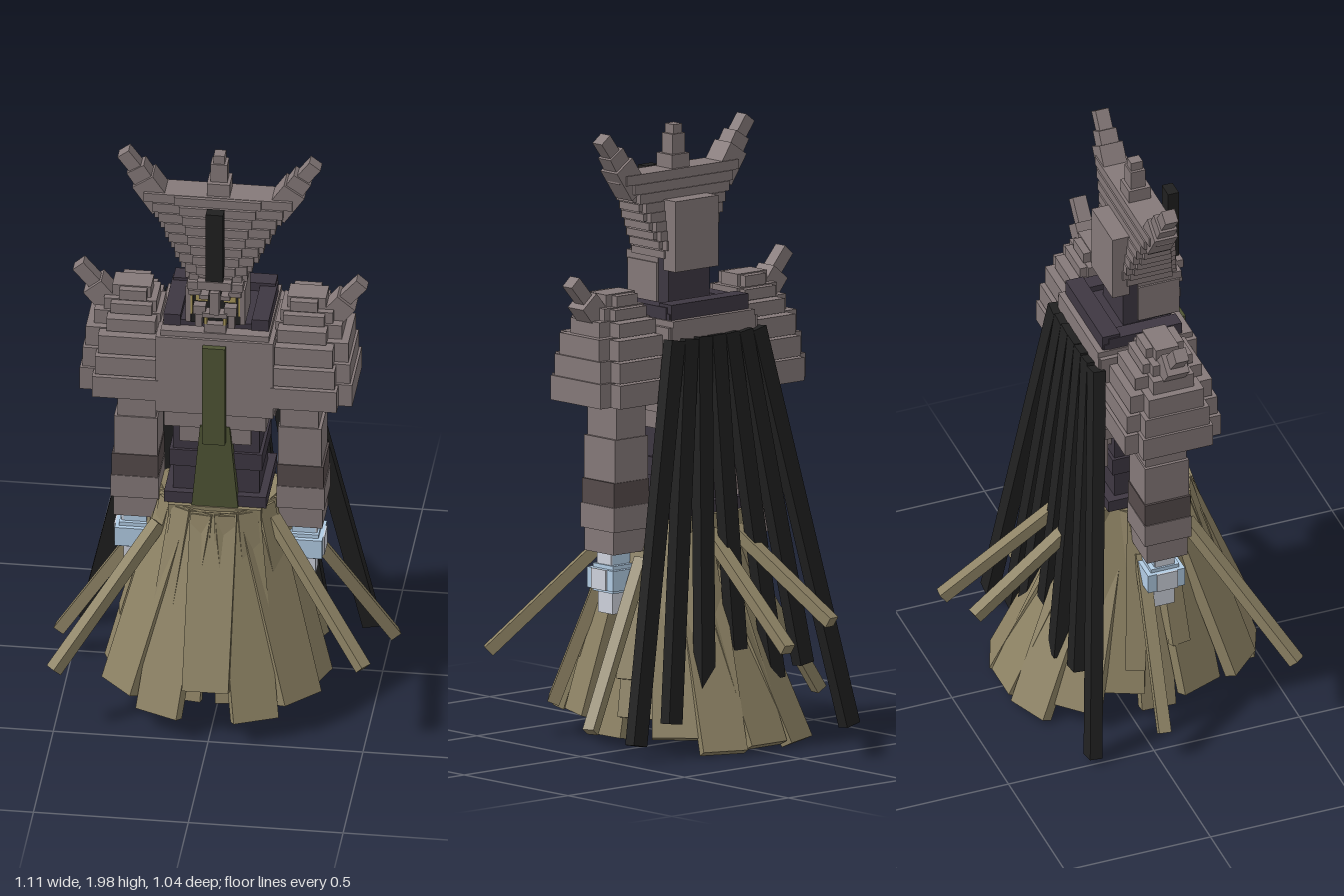
import * as THREE from 'three';

const mat = (name, color) => {
  const m = new THREE.MeshStandardMaterial({ color });
  m.name = name;
  return m;
};

export function createModel() {
  const armor = mat('mauve armour', 0x857979);
  const band = mat('dark armour band', 0x554b4b);
  const under = mat('dark purple cloth', 0x3e3742);
  const straw = mat('straw', 0x8d8264);
  const green = mat('moss green', 0x4e5434);
  const black = mat('black', 0x202020);
  const ice = mat('pale blue', 0xb2cce4);
  const frost = mat('pale grey', 0xced2dc);
  const gold = mat('gold', 0xa8965a);

  const root = new THREE.Group();
  const body = new THREE.Group();
  body.name = 'body';
  body.position.x = -0.01; // everything inside is symmetric about this line
  root.add(body);

  // Box from its limits
  const box = (name, m, x0, x1, y0, y1, z0, z1) => {
    const mesh = new THREE.Mesh(new THREE.BoxGeometry(x1 - x0, y1 - y0, z1 - z0), m);
    mesh.position.set((x0 + x1) / 2, (y0 + y1) / 2, (z0 + z1) / 2);
    mesh.name = name;
    body.add(mesh);
    return mesh;
  };
  // Box centred on x = 0, by half width
  const mid = (name, m, w, y0, y1, z0, z1) => box(name, m, -w, w, y0, y1, z0, z1);
  // Mirrored pair of boxes
  const pair = (name, m, x0, x1, y0, y1, z0, z1) => {
    box(name + 'Left', m, x0, x1, y0, y1, z0, z1);
    box(name + 'Right', m, -x1, -x0, y0, y1, z0, z1);
  };
  // Straight plank between two points; its width follows the given axis, or stays horizontal
  const plank = (name, m, a, b, width, thick, axis) => {
    const p = new THREE.Vector3(...a), q = new THREE.Vector3(...b);
    const dir = q.clone().sub(p);
    const len = dir.length();
    dir.normalize();
    const side = axis ? new THREE.Vector3(...axis) : new THREE.Vector3(0, 1, 0).cross(dir);
    side.addScaledVector(dir, -side.dot(dir)).normalize();
    const norm = side.clone().cross(dir);
    const mesh = new THREE.Mesh(new THREE.BoxGeometry(width, len, thick), m);
    mesh.quaternion.setFromRotationMatrix(new THREE.Matrix4().makeBasis(side, dir, norm));
    mesh.position.copy(p).add(q).multiplyScalar(0.5);
    mesh.name = name;
    body.add(mesh);
  };

  // Torso
  mid('waist', under, 0.14, 0.72, 1.04, 0.0, 0.22);
  mid('waistBelt', under, 0.165, 0.75, 0.79, -0.03, 0.245);
  mid('ribs', under, 0.15, 0.88, 0.94, -0.01, 0.23);
  mid('lowerChest', armor, 0.115, 0.98, 1.06, -0.02, 0.24);
  mid('middleChest', armor, 0.165, 1.04, 1.12, -0.04, 0.25);
  mid('chest', armor, 0.19, 1.1, 1.38, -0.065, 0.265);
  mid('backPlate', armor, 0.16, 0.93, 1.12, -0.07, -0.03);

  // Collar and neck
  mid('collarBase', armor, 0.175, 1.37, 1.4, -0.07, 0.255);
  mid('collarFloor', under, 0.168, 1.39, 1.42, -0.045, 0.215);
  mid('collarBack', under, 0.165, 1.38, 1.45, -0.05, 0.01);
  pair('collarSide', under, 0.115, 0.17, 1.38, 1.44, -0.03, 0.22);
  mid('neck', under, 0.06, 1.38, 1.5, 0.05, 0.18);

  // Tabard
  mid('tabardUpper', green, 0.037, 1.0, 1.36, 0.255, 0.285);
  const flare = mid('tabardLower', green, 0.077, 0.73, 1.05, 0.21, 0.255);
  const fp = flare.geometry.attributes.position;
  for (let i = 0; i < fp.count; i++) if (fp.getY(i) > 0) fp.setX(i, fp.getX(i) * 0.62);
  flare.geometry.computeVertexNormals();

  // Arms
  pair('upperArm', armor, 0.2, 0.325, 1.0, 1.2, 0.035, 0.175);
  pair('elbow', armor, 0.195, 0.335, 0.88, 1.02, 0.03, 0.18);
  pair('elbowBand', band, 0.192, 0.342, 0.8, 0.88, 0.027, 0.183);
  pair('forearm', armor, 0.19, 0.345, 0.72, 0.8, 0.025, 0.185);
  pair('cuff', armor, 0.198, 0.337, 0.645, 0.72, 0.035, 0.175);

  // Hands
  pair('wrist', ice, 0.235, 0.31, 0.59, 0.65, 0.07, 0.14);
  pair('wristPlate', frost, 0.309, 0.316, 0.59, 0.645, 0.072, 0.138);
  pair('hand', ice, 0.207, 0.335, 0.525, 0.592, 0.04, 0.167);
  pair('palm', ice, 0.22, 0.322, 0.515, 0.605, 0.055, 0.152);
  pair('knuckles', frost, 0.334, 0.34, 0.525, 0.592, 0.07, 0.14);
  pair('fingers', frost, 0.235, 0.31, 0.445, 0.52, 0.07, 0.14);

  // Stepped shoulder guards, each layer a cross in plan: [y0, y1, inner, outer, half depth]
  const layers = [
    [1.14, 1.22, 0.17, 0.44, 0.165], [1.22, 1.29, 0.175, 0.432, 0.155],
    [1.29, 1.36, 0.18, 0.424, 0.14], [1.36, 1.41, 0.185, 0.4, 0.115],
    [1.41, 1.45, 0.2, 0.37, 0.085], [1.45, 1.49, 0.22, 0.345, 0.065],
  ];
  layers.forEach(([y0, y1, xi, xo, d], i) => {
    const cut = i < 4 ? 0.045 : 0.025;
    pair('shoulderWide' + i, armor, xi, xo, y0, y1, 0.103 - d + cut, 0.103 + d - cut);
    pair('shoulderDeep' + i, armor, xi + 0.012, xo - cut, y0, y1 - 0.004, 0.103 - d, 0.103 + d);
  });
  for (const s of [1, -1]) {
    // Shoulder horns
    plank('shoulderHornBase', armor, [s * 0.34, 1.39, 0.105], [s * 0.41, 1.475, 0.105], 0.075, 0.075);
    plank('shoulderHornTip', armor, [s * 0.38, 1.45, 0.105], [s * 0.458, 1.54, 0.105], 0.045, 0.045);
    // Helmet horns
    plank('helmetHornBase', armor, [s * 0.18, 1.8, 0.125], [s * 0.245, 1.895, 0.125], 0.08, 0.08);
    plank('helmetHornMiddle', armor, [s * 0.21, 1.84, 0.125], [s * 0.27, 1.935, 0.125], 0.06, 0.065);
    plank('helmetHornTip', armor, [s * 0.25, 1.905, 0.125], [s * 0.31, 1.985, 0.125], 0.045, 0.045);
  }

  // Head and mask
  mid('head', black, 0.085, 1.42, 1.58, 0.06, 0.225);
  mid('headBack', under, 0.088, 1.42, 1.58, 0.05, 0.15);
  mid('brow', armor, 0.09, 1.558, 1.585, 0.1, 0.25);
  mid('browRidge', armor, 0.055, 1.57, 1.6, 0.2, 0.27);
  pair('browSlant', armor, 0.02, 0.05, 1.53, 1.545, 0.2, 0.262);
  pair('browTail', armor, 0.045, 0.085, 1.54, 1.556, 0.2, 0.255);
  pair('cheekGuard', armor, 0.08, 0.096, 1.43, 1.56, 0.1, 0.24);
  pair('cheekTrim', gold, 0.074, 0.08, 1.46, 1.53, 0.215, 0.242);
  pair('cheek', armor, 0.03, 0.07, 1.468, 1.499, 0.19, 0.255);
  pair('jaw', armor, 0.042, 0.064, 1.42, 1.47, 0.19, 0.25);
  pair('eye', gold, 0.025, 0.065, 1.505, 1.526, 0.224, 0.232);
  mid('nose', armor, 0.015, 1.478, 1.56, 0.2, 0.27);
  mid('upperLip', armor, 0.04, 1.462, 1.478, 0.2, 0.262);
  pair('tusk', gold, 0.026, 0.036, 1.43, 1.462, 0.224, 0.25);
  mid('chin', armor, 0.035, 1.4, 1.43, 0.15, 0.25);

  // Helmet crown: wider and thinner towards the top
  const steps = 9;
  const widths = [0.1, 0.115, 0.135, 0.15, 0.17, 0.185, 0.205, 0.225, 0.255];
  for (let i = 0; i < steps; i++) {
    const y = 1.575 + i * 0.0317, t = i / (steps - 1);
    const z0 = 0.04 + 0.04 * t, z1 = 0.235 - 0.06 * t;
    mid('crownStep' + i, armor, widths[i] - 0.015, y, y + 0.0317, z0, z1);
    mid('crownRim' + i, armor, widths[i], y + 0.004, y + 0.028, z0 + 0.02, z1 - 0.02);
    mid('crownFace' + i, armor, widths[i] * 0.55, y, y + 0.03, z0, z1 + 0.012);
  }
  mid('crest', black, 0.028, 1.57, 1.85, 0.228, 0.265);
  mid('neckGuard', armor, 0.092, 1.54, 1.77, 0.012, 0.07);
  mid('topSpikeBase', armor, 0.037, 1.85, 1.905, 0.09, 0.165);
  mid('topSpike', armor, 0.027, 1.89, 1.97, 0.1, 0.15);
  mid('topSpikeTip', armor, 0.018, 1.96, 2.0, 0.105, 0.145);

  // Straw skirt: broad strips from front to back, [hem height, hem radius, top radius]
  const strips = [
    [0.18, 0.4, 0.18], [0.07, 0.405, 0.18], [0.11, 0.41, 0.17], [0.09, 0.35, 0.17], [0.03, 0.3, 0.17],
    [0.1, 0.3, 0.16], [0.05, 0.36, 0.12], [0.01, 0.41, 0.08], [0.02, 0.405, 0.07],
  ];
  strips.forEach(([y, r, top], i) => {
    for (const sign of i % 8 ? [1, -1] : [1]) {
      const s = sign * Math.sin(i * Math.PI / 8), c = Math.cos(i * Math.PI / 8);
      plank('skirtStrip' + i, straw, [s * top, 0.74, 0.09 + c * top],
        [s * r, y + 0.015, 0.085 + c * r], i === 4 ? 0.115 : 0.15, 0.04);
    }
  });
  // Narrow strips over the gaps, tucked in at the back
  for (let i = 0; i < 16; i++) {
    const a = (i + 0.5) * Math.PI / 8, s = Math.sin(a), c = Math.cos(a);
    const k = (i * 7) % 5, tuck = c < -0.5 ? 0.72 : 1;
    plank('skirtSliver' + i, straw, [s * 0.185, 0.74, 0.1 + c * 0.19 * tuck],
      [s * (0.28 + k * 0.008), 0.12 + k * 0.04, 0.085 + c * (0.34 + k * 0.01) * tuck], 0.065, 0.03);
  }
  mid('skirtTop', straw, 0.15, 0.7, 0.75, -0.05, 0.26);

  // Loose straw stalks
  const stalks = [
    [[-0.185, 0.66, 0.23], [-0.49, 0.24, 0.49]], [[0.18, 0.69, 0.2], [0.505, 0.3, 0.45]],
    [[-0.22, 0.6, 0.06], [-0.53, 0.11, 0.02]], [[0.22, 0.62, 0.03], [0.54, 0.11, -0.08]],
    [[-0.08, 0.7, -0.08], [-0.14, 0.44, -0.48]], [[0.03, 0.7, -0.08], [0.075, 0.38, -0.51]],
  ];
  stalks.forEach(([a, b], i) => plank('stalk' + i, straw, a, b, 0.04, 0.038));

  // Cape of seven splayed slats, broad face to the back: [foot x, foot y, foot z]
  const feet = [
    [-0.465, 0.03, -0.2], [-0.28, 0.25, -0.185], [-0.145, 0.22, -0.2], [0, 0.125, -0.2],
    [0.155, 0.11, -0.2], [0.285, 0.12, -0.185], [0.45, 0.07, -0.2],
  ];
  feet.forEach((f, i) => plank('capeSlat' + i, black, [(i - 3) * 0.058, 1.34, -0.075], f, 0.057, 0.042, [1, 0, 0]));
  mid('capeYoke', armor, 0.18, 1.32, 1.38, -0.07, -0.04);

  return root;
}
